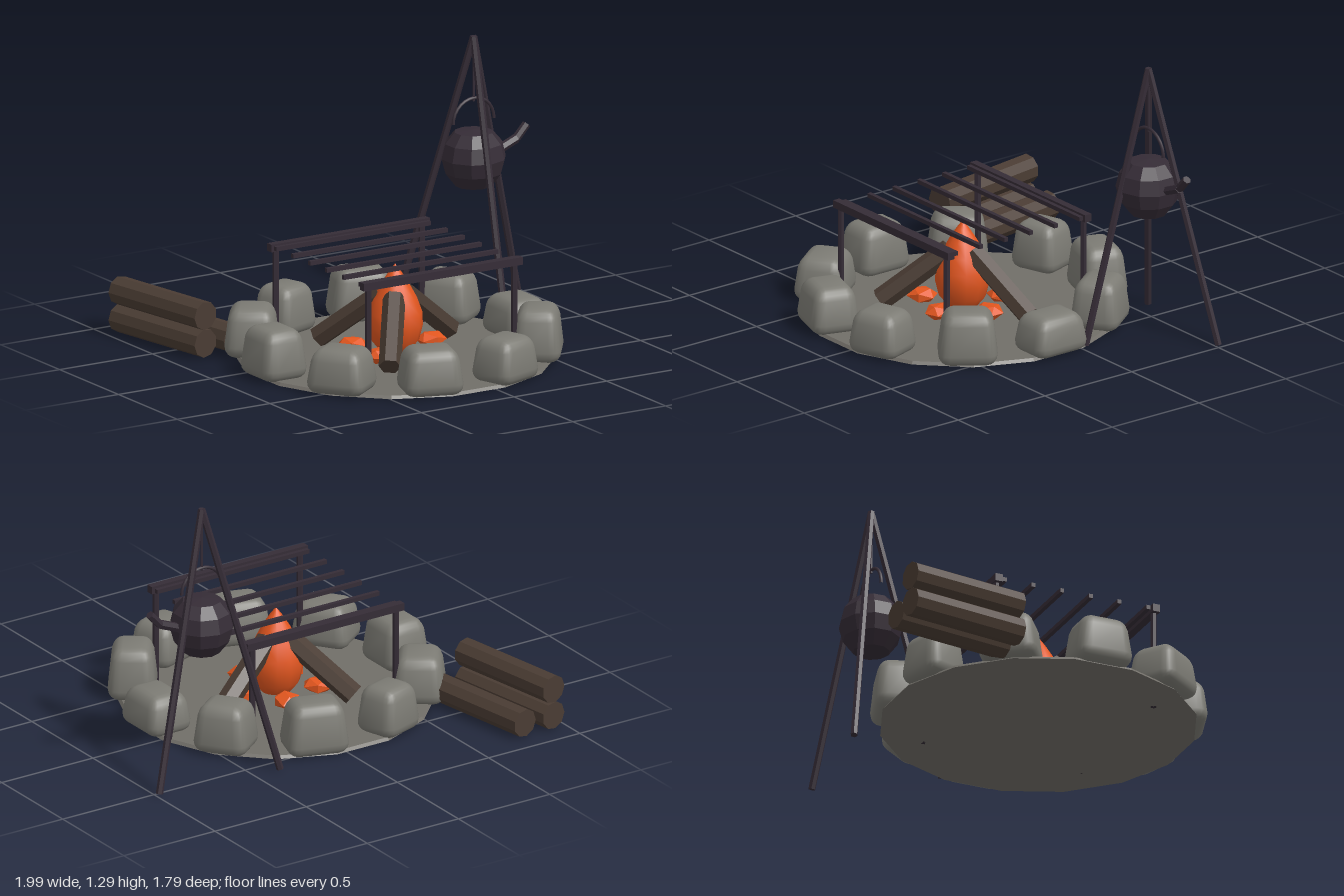
import * as THREE from 'three';
import { toCreasedNormals } from 'three/addons/utils/BufferGeometryUtils.js';
import { RoundedBoxGeometry } from 'three/addons/geometries/RoundedBoxGeometry.js';

const material = (name, color) => {
  const m = new THREE.MeshStandardMaterial({ color });
  m.name = name;
  return m;
};

export function createModel() {
  const stone = material('stone grey', 0x7c7b74);
  const ash = material('ash grey', 0x716e68);
  const wood = material('dark wood', 0x4a3c33);
  const iron = material('black iron', 0x352c36);
  const ember = material('ember orange', 0xe2561f);

  const model = new THREE.Group();
  model.name = 'campfire';
  const V = (x, y, z) => new THREE.Vector3(x, y, z);
  const flat = (g) => toCreasedNormals(g, 0.05);
  const group = (name, parent = model) => {
    const g = new THREE.Group();
    g.name = name;
    parent.add(g);
    return g;
  };
  const add = (parent, name, geometry, mat, x = 0, y = 0, z = 0) => {
    const mesh = new THREE.Mesh(geometry, mat);
    mesh.name = name;
    mesh.position.set(x, y, z);
    parent.add(mesh);
    return mesh;
  };
  // Straight round bar between two points
  const bar = (parent, name, a, b, r, mat, sides = 6) => {
    const dir = b.clone().sub(a);
    const mesh = add(parent, name, flat(new THREE.CylinderGeometry(r, r, dir.length(), sides)), mat);
    mesh.position.copy(a).add(b).multiplyScalar(0.5);
    mesh.quaternion.setFromUnitVectors(V(0, 1, 0), dir.normalize());
    return mesh;
  };

  // Fire pit: everything here is placed around its own centre
  const pit = group('firePit');
  pit.position.set(-0.09, 0, 0.13);
  const bed = add(pit, 'ashBed', flat(new THREE.CylinderGeometry(0.72, 0.73, 0.014, 16)), ash, 0, 0.007, 0);
  bed.rotation.y = Math.PI / 16;

  // Ring of tapered stones: [height, width along the ring, depth]
  const sizes = [
    [0.19, 0.29, 0.23], [0.25, 0.27, 0.22], [0.21, 0.26, 0.23], [0.22, 0.28, 0.23], [0.21, 0.28, 0.24],
    [0.235, 0.27, 0.23], [0.23, 0.27, 0.24], [0.23, 0.24, 0.22], [0.25, 0.29, 0.22], [0.235, 0.26, 0.23],
  ];
  const stones = group('stoneRing', pit);
  sizes.forEach(([h, w, d], i) => {
    const a = (i / sizes.length) * Math.PI * 2;
    const g = new RoundedBoxGeometry(d, h, w, 2, 0.055);
    const p = g.attributes.position;
    for (let k = 0; k < p.count; k++) {
      const t = p.getY(k) / h + 0.5;
      const s = 1.02 - 0.24 * t * t;
      p.setX(k, p.getX(k) * s);
      p.setZ(k, p.getZ(k) * s);
    }
    const rock = add(stones, 'stone', toCreasedNormals(g, 0.6), stone,
      Math.cos(a) * 0.655, 0.005 + h / 2, Math.sin(a) * 0.65);
    rock.rotation.y = -a;
  });

  // Flame
  const flameProfile = [[0, 0.02], [0.07, 0.03], [0.11, 0.08], [0.127, 0.15], [0.125, 0.21],
    [0.1, 0.28], [0.065, 0.345], [0.03, 0.4], [0, 0.44]].map(([r, y]) => new THREE.Vector2(r, y));
  add(pit, 'flame', new THREE.LatheGeometry(flameProfile, 12), ember);

  // Glowing coals
  const coals = group('coals', pit);
  for (let i = 0; i < 5; i++) {
    const a = (i / 5) * Math.PI * 2;
    const g = new THREE.IcosahedronGeometry(0.075, 0).scale(1, 0.5, 0.9);
    const coal = add(coals, 'coal', g, ember, Math.cos(a) * 0.195, 0.055, Math.sin(a) * 0.19);
    coal.rotation.y = -a;
  }

  // Leaning fire logs
  const fireLogs = group('fireLogs', pit);
  for (const deg of [-16, 126, 233]) {
    const a = THREE.MathUtils.degToRad(deg);
    const c = Math.cos(a), s = Math.sin(a);
    bar(fireLogs, 'fireLog', V(c * 0.375, 0.055, s * 0.375), V(c * 0.06, 0.295, s * 0.06), 0.052, wood);
  }

  // Cooking grate: two rails on posts, with loose bars between them
  const grate = group('grate');
  for (const z of [-0.263, 0.526]) {
    add(grate, 'rail', new THREE.BoxGeometry(0.856, 0.036, 0.036), iron, -0.091, 0.485, z);
    for (const x of [-0.485, 0.303]) bar(grate, 'post', V(x, 0, z), V(x, 0.48, z), 0.015, iron);
  }
  for (let i = 0; i < 6; i++) {
    add(grate, 'grateBar', new THREE.BoxGeometry(0.834, 0.02, 0.02), iron, -0.091, 0.486, -0.23 + i * 0.144);
  }

  // Tripod
  const tripod = group('tripod');
  const apex = V(0.65, 1.285, -0.368);
  for (const [x, z] of [[0.365, -0.585], [0.98, -0.515], [0.612, -0.035]]) {
    bar(tripod, 'tripodLeg', V(x, 0.004, z), apex, 0.017, iron);
  }
  bar(tripod, 'hangingRod', V(0.65, 0.98, -0.368), apex, 0.006, iron);

  // Kettle with handle and spout
  const kettle = group('kettle');
  kettle.position.set(0.65, 0.715, -0.368);
  const potProfile = [[0, -0.135], [0.085, -0.132], [0.132, -0.07], [0.151, 0], [0.134, 0.07],
    [0.09, 0.122], [0, 0.132]].map(([r, y]) => new THREE.Vector2(r, y));
  add(kettle, 'pot', flat(new THREE.LatheGeometry(potProfile, 10)), iron);
  add(kettle, 'handle', new THREE.TorusGeometry(0.11, 0.008, 6, 14, Math.PI), iron, 0, 0.17, 0);
  const spout = [V(0.12, 0.01, 0), V(0.23, 0.055, 0), V(0.285, 0.115, 0)];
  bar(kettle, 'spoutBase', spout[0], spout[1], 0.022, iron);
  bar(kettle, 'spoutTip', spout[1], spout[2], 0.02, iron);

  // Stacked firewood
  const firewood = group('firewood');
  for (const [x, y] of [[-0.927, 0.068], [-0.77, 0.068], [-0.927, 0.198]]) {
    bar(firewood, 'firewoodLog', V(x, y, -0.895), V(x + 0.095, y, -0.312), 0.067, wood, 9);
  }
  return model;
}
